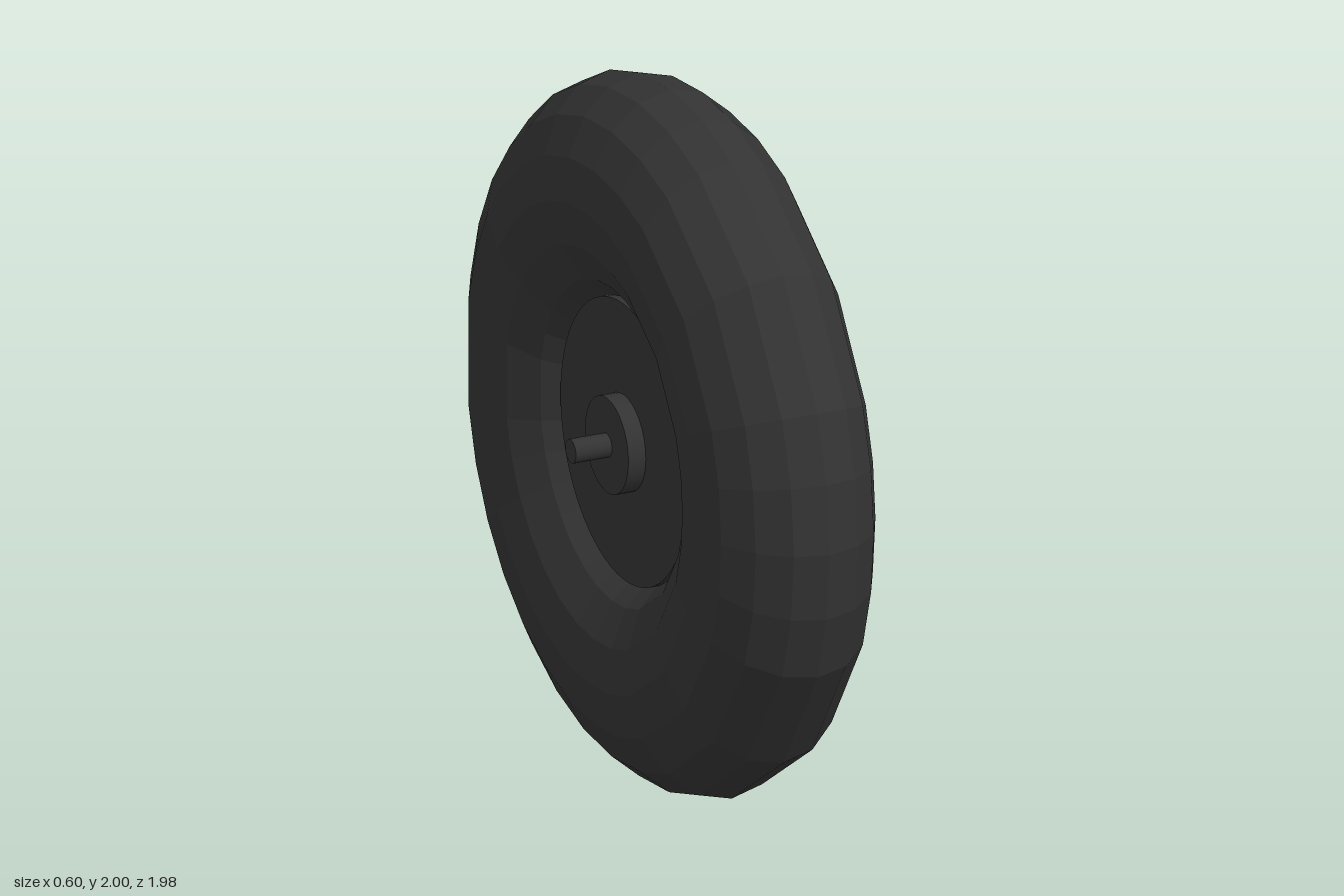
import * as THREE from 'three';

const material = new THREE.MeshStandardMaterial({ color: 0x333333 });
const tireMaterial = new THREE.MeshStandardMaterial({ color: 0x333333, flatShading: true });

// Tyre: an oval-section torus whose rim has 32 steps, a few of them merged into longer facets
function tireGeometry() {
  const R = 0.68, r = 0.32, halfWidth = 0.25, sides = 16;
  const merged = [0, 11, 13, 19, 21];
  const steps = [];
  for (let i = 0; i < 32; i++) if (!merged.includes(i)) steps.push(i);
  const n = steps.length;
  const geo = new THREE.TorusGeometry(R, r, sides, n);
  const pos = geo.attributes.position;
  for (let j = 0; j <= sides; j++) {
    const v = (j / sides) * Math.PI * 2;
    const radius = R + r * Math.cos(v);
    for (let i = 0; i <= n; i++) {
      const u = (steps[i % n] / 32) * Math.PI * 2;
      pos.setXYZ(j * (n + 1) + i, radius * Math.cos(u), radius * Math.sin(u), halfWidth * Math.sin(v));
    }
  }
  geo.rotateY(Math.PI / 2);
  geo.computeVertexNormals();
  return geo;
}

// Cylinder lying along x, centred on the axle
function disc(name, radius, halfWidth, segments) {
  const geo = new THREE.CylinderGeometry(radius, radius, halfWidth * 2, segments);
  geo.rotateZ(Math.PI / 2);
  const mesh = new THREE.Mesh(geo, material);
  mesh.name = name;
  return mesh;
}

export function createModel() {
  const wheel = new THREE.Group();
  wheel.name = 'wheel';

  const tire = new THREE.Mesh(tireGeometry(), tireMaterial);
  tire.name = 'tire';
  wheel.add(tire);

  wheel.add(disc('hubDisc', 0.4, 0.14, 64));
  wheel.add(disc('hubCollar', 0.137, 0.192, 32));
  wheel.add(disc('axle', 0.034, 0.3, 16));

  wheel.position.set(0, 1, -0.0095);
  const model = new THREE.Group();
  model.name = 'wheelModel';
  model.add(wheel);
  return model;
}
